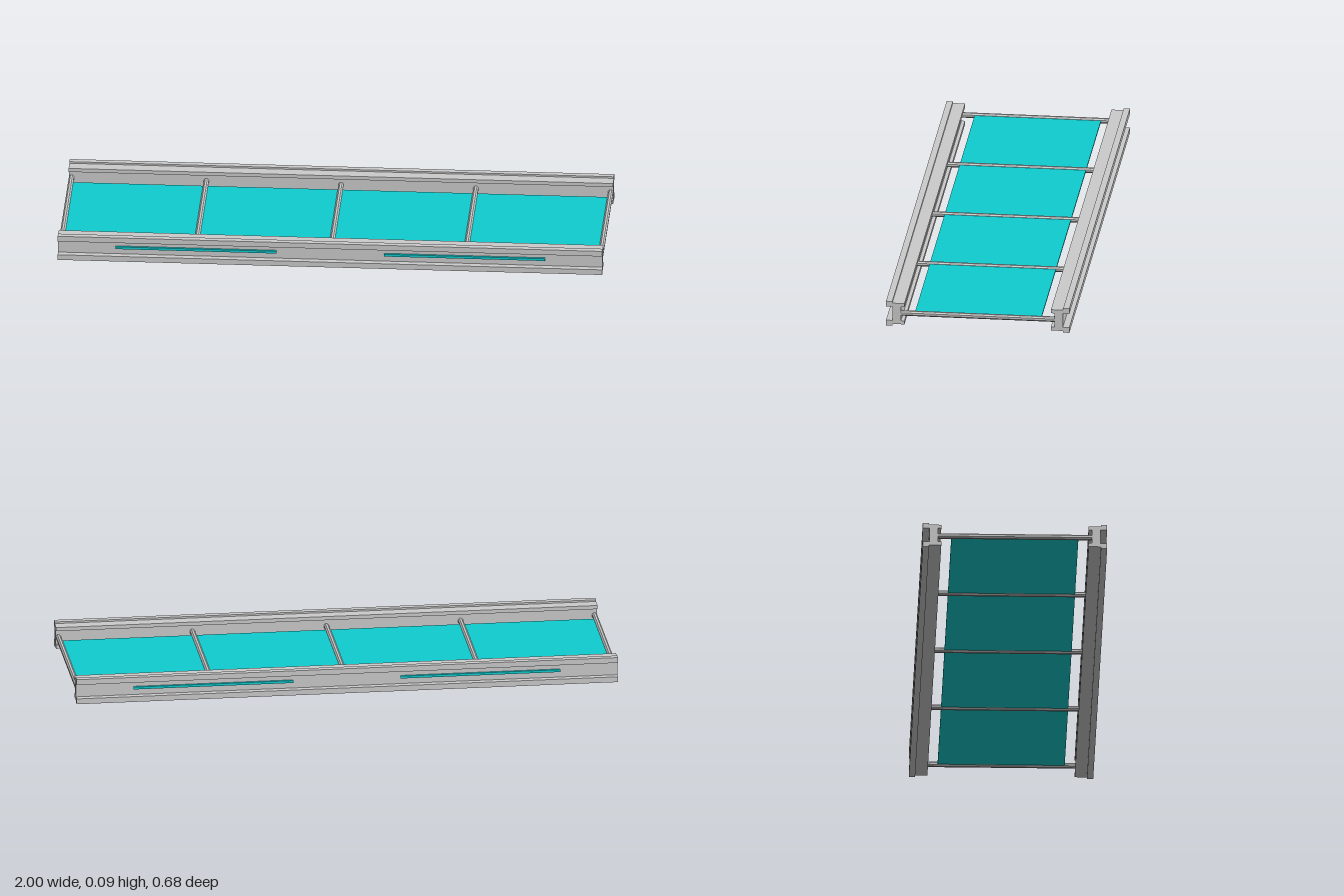
import * as THREE from 'three';

const LENGTH = 2;
const MID_Y = 0.0475;

export function createModel() {
  const model = new THREE.Group();
  const grey = new THREE.MeshStandardMaterial({ color: 0xcccccc, flatShading: true });
  const cyan = new THREE.MeshStandardMaterial({ color: 0x0fcccf });

  const add = (name, geometry, material, x, y, z) => {
    const mesh = new THREE.Mesh(geometry, material);
    mesh.name = name;
    mesh.position.set(x, y, z);
    model.add(mesh);
    return mesh;
  };

  // Upper half of the I-beam section as [z, height above the middle], from inner web to outer web
  const half = [
    [0.283, 0.027], [0.27, 0.027], [0.27, 0.041], [0.315, 0.041],
    [0.315, 0.0475], [0.338, 0.0475], [0.338, 0.027], [0.314, 0.027],
  ];
  const section = [
    ...half.map(([z, h]) => [z, MID_Y + h]),
    ...half.slice().reverse().map(([z, h]) => [z, MID_Y - h]),
  ];

  for (const side of [1, -1]) {
    const end = side > 0 ? 'front' : 'back';

    // Side rail, extruded along x
    const shape = new THREE.Shape(section.map(([z, y]) => new THREE.Vector2(-side * z, y)));
    const railGeometry = new THREE.ExtrudeGeometry(shape, { depth: LENGTH, bevelEnabled: false });
    railGeometry.rotateY(Math.PI / 2);
    add(`${end}Rail`, railGeometry, grey, -LENGTH / 2, 0, 0);

    // Two light strips set on the outer web
    for (const x of [-0.493, 0.493]) {
      add(`${end}LightStrip`, new THREE.BoxGeometry(0.59, 0.009, 0.012), cyan, x, MID_Y, side * 0.317);
    }
  }

  // Cross rods joining the rails
  for (const x of [-0.99, -0.495, 0, 0.495, 0.99]) {
    const rod = new THREE.CylinderGeometry(0.01, 0.01, 0.57, 8);
    rod.rotateY(Math.PI / 8);
    rod.rotateX(Math.PI / 2);
    add('crossRod', rod, grey, x, MID_Y, 0);
  }

  // Thin glowing deck panel threaded by the rods
  add('deckPanel', new THREE.BoxGeometry(1.97, 0.006, 0.466), cyan, 0, MID_Y, 0);

  return model;
}
